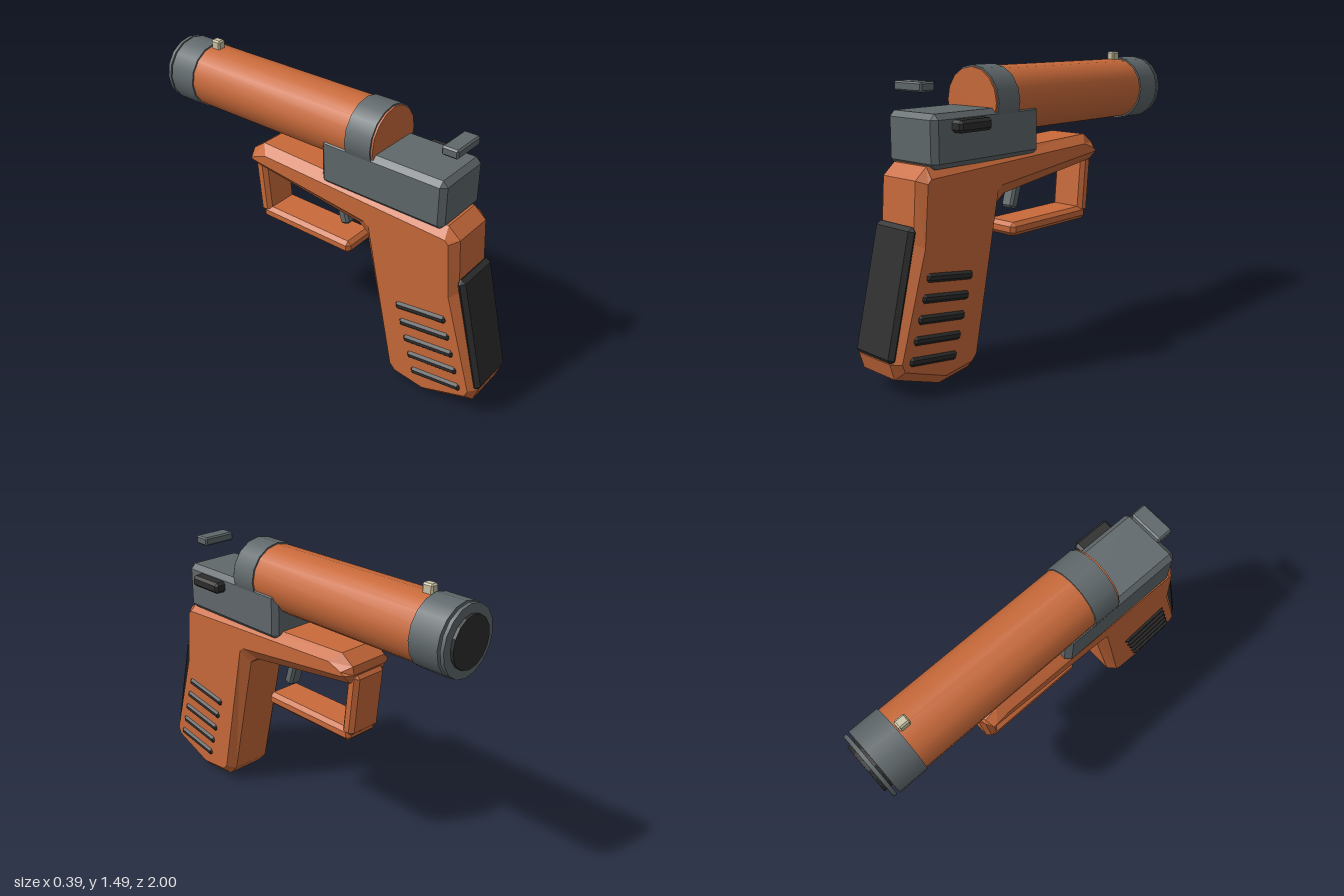
import * as THREE from 'three';
import { ConvexGeometry } from 'three/addons/geometries/ConvexGeometry.js';

const CX = -0.025; // centre line of the body

const paint = (name, color, flatShading = true) => {
  const m = new THREE.MeshStandardMaterial({ color, flatShading });
  m.name = name;
  return m;
};

// Box with every edge chamfered by c
function chamferBox(w, h, d, c) {
  const points = [];
  for (const sx of [-1, 1]) for (const sy of [-1, 1]) for (const sz of [-1, 1]) {
    for (let axis = 0; axis < 3; axis++) {
      const half = [w / 2, h / 2, d / 2].map((v, i) => (i === axis ? v : v - c));
      points.push(new THREE.Vector3(sx * half[0], sy * half[1], sz * half[2]));
    }
  }
  return new ConvexGeometry(points);
}

// Solid through side outlines [z, y] placed at increasing x; outlines run counter-clockwise in (z, y)
function loftAcross(rings) {
  const pos = [];
  const put = (...list) => list.forEach(([k, i]) => {
    const [z, y] = rings[k].outline[i];
    pos.push(rings[k].x, y, z);
  });
  const n = rings[0].outline.length, last = rings.length - 1;
  for (let k = 0; k < last; k++) {
    for (let i = 0; i < n; i++) {
      const j = (i + 1) % n;
      put([k, i], [k + 1, i], [k, j], [k, j], [k + 1, i], [k + 1, j]);
    }
  }
  const contour = rings[0].outline.map(([z, y]) => new THREE.Vector2(z, y));
  for (const [a, b, c] of THREE.ShapeUtils.triangulateShape(contour, [])) {
    put([0, a], [0, b], [0, c]);
    put([last, a], [last, c], [last, b]);
  }
  const g = new THREE.BufferGeometry();
  g.setAttribute('position', new THREE.Float32BufferAttribute(pos, 3));
  g.computeVertexNormals();
  return g;
}

export function createModel() {
  const orange = paint('orange shell', 0xc96a3a);
  const orangeSmooth = orange.clone();
  orangeSmooth.flatShading = false;
  const grey = paint('grey metal', 0x60686b);
  const greySmooth = grey.clone();
  greySmooth.flatShading = false;
  const black = paint('black rubber', 0x2d2d2d);
  const cream = paint('cream sight', 0xc9c1a2);

  const model = new THREE.Group();
  const add = (name, geometry, material, x, y, z, tilt = 0) => {
    const mesh = new THREE.Mesh(geometry, material);
    mesh.name = name;
    mesh.position.set(x, y, z);
    mesh.rotation.x = tilt;
    model.add(mesh);
    return mesh;
  };
  // Cylinder along z between two depths, on the barrel axis
  const tube = (name, r, z0, z1, material) => add(name,
    new THREE.CylinderGeometry(r, r, Math.abs(z1 - z0), 16).rotateX(Math.PI / 2),
    material, CX, 1.29, (z0 + z1) / 2);

  // Grip and frame: full outline in the middle, inset outline on both sides
  const outer = [
    [0.81, 0.98], [0.745, 1.035], [-0.365, 1.075], [-0.435, 1.025], [-0.445, 0.985],
    [-0.42, 0.935], [0.25, 0.845], [0.30, 0.81], [0.46, 0.085], [0.515, 0.025],
    [0.70, 0.003], [0.96, 0.10], [0.985, 0.18], [0.83, 0.70],
  ].reverse();
  const inner = [
    [0.775, 0.965], [0.755, 0.985], [-0.32, 1.03], [-0.40, 1.0], [-0.42, 0.985],
    [-0.40, 0.98], [0.31, 0.898], [0.335, 0.88], [0.495, 0.10], [0.525, 0.07],
    [0.695, 0.05], [0.935, 0.14], [0.95, 0.18], [0.80, 0.68],
  ].reverse();
  const ccw = THREE.ShapeUtils.area(outer.map(([x, y]) => ({ x, y }))) > 0;
  if (!ccw) { outer.reverse(); inner.reverse(); }
  add('grip frame', loftAcross([
    { x: -0.155, outline: inner }, { x: -0.11, outline: outer },
    { x: 0.11, outline: outer }, { x: 0.155, outline: inner },
  ]), orange, CX, 0, 0);

  // Back pad and side ribs
  add('back pad', chamferBox(0.26, 0.615, 0.045, 0.02), black, CX, 0.477, 0.905, -0.24);
  for (const side of [-1, 1]) {
    for (let i = 0; i < 5; i++) {
      add('grip rib', chamferBox(0.04, 0.042, 0.285, 0.012), black,
        CX + side * 0.147, 0.522 - i * 0.0915, 0.655 + i * 0.028, -0.16);
    }
  }

  // Trigger and guard
  add('trigger', chamferBox(0.075, 0.24, 0.055, 0.012), grey, CX, 0.845, 0.065, -0.29);
  add('guard post', chamferBox(0.2, 0.34, 0.072, 0.02), orange, CX, 0.81, -0.406, -0.09);
  add('guard bar', chamferBox(0.2, 0.07, 0.585, 0.02), orange, CX, 0.64, -0.117);

  // Receiver with side knob
  add('receiver', chamferBox(0.325, 0.247, 0.695, 0.026), grey, CX, 1.1435, 0.393);
  add('side knob', chamferBox(0.09, 0.058, 0.205, 0.014), black, 0.15, 1.208, 0.532);

  // Barrel, bands and muzzle
  tube('barrel', 0.165, 0.355, -0.94, orangeSmooth);
  tube('rear band', 0.173, 0.345, 0.2, greySmooth);
  tube('front band', 0.173, -0.8, -0.955, greySmooth);
  tube('muzzle plate', 0.17, -0.967, -0.985, greySmooth);
  tube('muzzle bore', 0.125, -0.94, -1.0, black);

  // Sights
  add('rear sight', chamferBox(0.185, 0.045, 0.085, 0.008), grey, CX, 1.382, 0.708);
  add('front sight', chamferBox(0.046, 0.06, 0.058, 0.008), cream, CX, 1.465, -0.766);

  return model;
}
